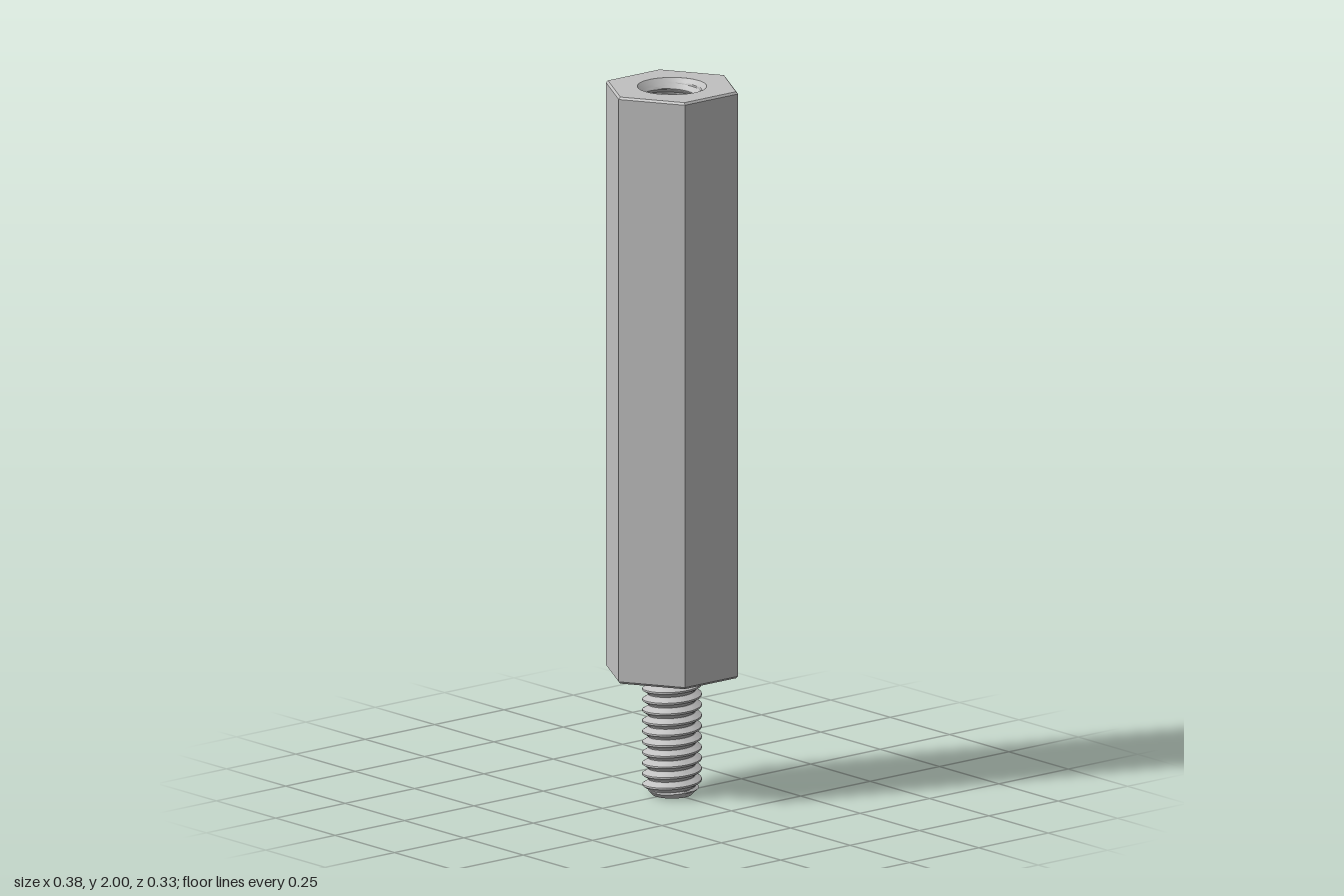
import * as THREE from 'three';
import { toCreasedNormals } from 'three/addons/utils/BufferGeometryUtils.js';

const SEGMENTS = 48;
const PITCH = 0.03;
const HEX_RADIUS = 0.192;
const BODY_BOTTOM = 0.342;
const TOP = 2;
const BEVEL = 0.006;

// Right-handed V thread between two heights; limit(r, y) trims it at bevelled ends
function threadGeometry(y0, y1, minor, major, limit, inward = false) {
  const steps = 12;
  const rows = (Math.ceil((y1 - y0) / PITCH) + 2) * steps;
  const positions = [];
  const index = [];
  for (let j = 0; j <= rows; j++) {
    const phase = (j % steps) / steps;
    // flat root, sloped flank, narrow crest, sloped flank
    const ridge = THREE.MathUtils.clamp((0.44 - Math.abs(phase - 0.5)) / 0.37, 0, 1);
    for (let i = 0; i <= SEGMENTS; i++) {
      const turn = i / SEGMENTS;
      const angle = (i % SEGMENTS) / SEGMENTS * Math.PI * 2;
      const y = THREE.MathUtils.clamp(y0 + (j / steps - 1 + turn) * PITCH, y0, y1);
      const r = limit(minor + (major - minor) * ridge, y);
      positions.push(r * Math.cos(angle), y, -r * Math.sin(angle));
    }
  }
  const w = SEGMENTS + 1;
  for (let j = 0; j < rows; j++) {
    for (let i = 0; i < SEGMENTS; i++) {
      const a = j * w + i, b = a + 1, c = b + w, d = a + w;
      if (inward) index.push(a, c, b, a, d, c);
      else index.push(a, b, c, a, c, d);
    }
  }
  const geometry = new THREE.BufferGeometry();
  geometry.setAttribute('position', new THREE.Float32BufferAttribute(positions, 3));
  geometry.setIndex(index);
  return toCreasedNormals(geometry, 0.5);
}

// Flat disc facing up or down
function disc(radius, sides, y, up) {
  return new THREE.CircleGeometry(radius, sides)
    .rotateX(up ? -Math.PI / 2 : Math.PI / 2)
    .translate(0, y, 0);
}

export function createModel() {
  const group = new THREE.Group();
  group.name = 'hexStandoff';
  const metal = new THREE.MeshStandardMaterial({ color: 0xc0c0c0 });
  metal.name = 'grey metal';

  const add = (name, geometry) => {
    const mesh = new THREE.Mesh(geometry, metal);
    mesh.name = name;
    group.add(mesh);
  };

  // Hexagonal sides with a fine bevel at both ends
  const profile = [
    [HEX_RADIUS - BEVEL, BODY_BOTTOM],
    [HEX_RADIUS, BODY_BOTTOM + BEVEL],
    [HEX_RADIUS, TOP - BEVEL],
    [HEX_RADIUS - BEVEL, TOP],
  ].map(([r, y]) => new THREE.Vector2(r, y));
  const sides = new THREE.LatheGeometry(profile, 6, Math.PI / 2).toNonIndexed();
  sides.computeVertexNormals();
  add('hexBody', sides);

  // Top face with the hole opening
  const face = new THREE.Shape();
  for (let i = 0; i < 6; i++) {
    const a = i * Math.PI / 3;
    const x = (HEX_RADIUS - BEVEL) * Math.cos(a);
    const y = (HEX_RADIUS - BEVEL) * Math.sin(a);
    if (i === 0) face.moveTo(x, y);
    else face.lineTo(x, y);
  }
  face.closePath();
  const opening = new THREE.Path();
  opening.absarc(0, 0, 0.095, 0, Math.PI * 2, true);
  face.holes.push(opening);
  add('topFace', new THREE.ShapeGeometry(face, SEGMENTS).rotateX(-Math.PI / 2).translate(0, TOP, 0));
  add('bottomFace', disc(HEX_RADIUS - BEVEL, 6, BODY_BOTTOM, false));

  // Countersunk threaded hole and its floor
  const holeFloor = 1.4;
  add('threadedHole', threadGeometry(holeFloor, TOP, 0.07, 0.083,
    (r, y) => Math.max(r, 0.095 - (TOP - y)), true));
  add('holeFloor', disc(0.083, SEGMENTS, holeFloor, true));

  // Threaded stud with a tapered tip
  add('threadedStud', threadGeometry(0, BODY_BOTTOM, 0.065, 0.082,
    (r, y) => Math.min(r, 0.055 + y)));
  add('studTip', disc(0.055, SEGMENTS, 0, false));

  return group;
}
